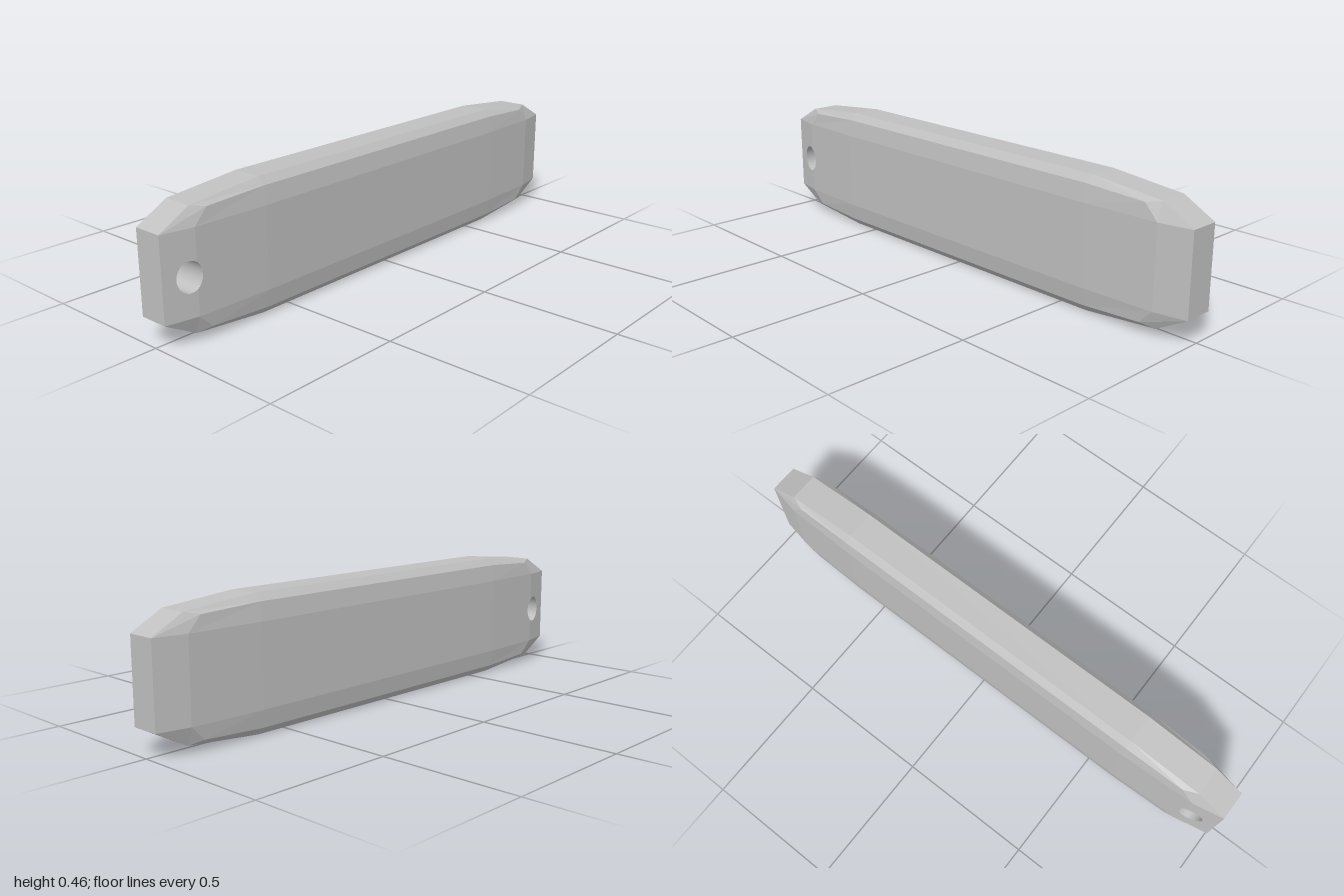
import * as THREE from 'three';
import { mergeVertices } from 'three/addons/utils/BufferGeometryUtils.js';

// half sizes of the flat core, and the corner radius along each axis
const core = new THREE.Vector3(0.053, 0.143, 0.61);
const radius = new THREE.Vector3(0.032, 0.0885, 0.39);
const midY = 0.2315;
const bendZ = core.z + radius.z * Math.SQRT1_2;
const bendX = core.x + radius.x * Math.SQRT1_2;
const hole = { z: 0.91, y: 0.222, rz: 0.044, ry: 0.0515 };

// half thickness of the bar at z near the drilled end
function halfThickness(z) {
  return z < bendZ
    ? THREE.MathUtils.mapLinear(z, core.z, bendZ, core.x + radius.x, bendX)
    : THREE.MathUtils.mapLinear(z, bendZ, 1, bendX, core.x);
}

function flip(geometry) {
  const a = geometry.index.array;
  for (let i = 0; i < a.length; i += 3) [a[i], a[i + 1]] = [a[i + 1], a[i]];
  return geometry;
}

// box with two-step rounded edges, left open where the drilled panels go
function bodyGeometry() {
  const g = new THREE.BoxGeometry(2, 2, 2, 3, 3, 3);
  const p = g.attributes.position;
  const v = new THREE.Vector3();
  for (let i = 0; i < p.count; i++) {
    v.fromBufferAttribute(p, i);
    const s = v.clone().set(Math.sign(v.x), Math.sign(v.y), Math.sign(v.z));
    v.set(...v.toArray().map((c) => (Math.abs(c) > 0.5 ? Math.sign(c) : 0))).normalize();
    v.multiply(radius).add(s.multiply(core));
    p.setXYZ(i, v.x, v.y + midY, v.z);
  }
  const kept = [];
  for (let i = 0; i < g.index.count; i += 3) {
    const tri = [0, 1, 2].map((k) => g.index.getX(i + k));
    const inBand = tri.every((k) => p.getZ(k) > core.z - 0.01 && Math.abs(p.getY(k) - midY) < core.y + 0.001);
    const onSide = tri.some((k) => Math.abs(p.getX(k)) > core.x + 0.001);
    if (!(inBand && onSide)) kept.push(...tri);
  }
  g.setIndex(kept);
  g.clearGroups();
  return g;
}

// side panel from the bend to zEnd, notched by its part of the hole
function panelGeometry(side, zEnd) {
  const a = Math.acos((bendZ - hole.z) / hole.rz);
  const front = zEnd > bendZ;
  const low = midY - core.y, high = midY + core.y;
  const shape = new THREE.Shape();
  shape.moveTo(bendZ, low);
  shape.lineTo(zEnd, low);
  shape.lineTo(zEnd, high);
  shape.lineTo(bendZ, high);
  shape.absellipse(hole.z, hole.y, hole.rz, hole.ry, a, front ? -a : 2 * Math.PI - a, front, 0);
  shape.closePath();
  const g = new THREE.ShapeGeometry(shape, 24);
  const p = g.attributes.position;
  for (let i = 0; i < p.count; i++) {
    const z = p.getX(i);
    p.setXYZ(i, side * halfThickness(z), p.getY(i), z);
  }
  if (side > 0) flip(g);
  g.computeVertexNormals();
  return g;
}

// inside wall of the hole, trimmed to the panels
function wallGeometry() {
  let g = new THREE.CylinderGeometry(1, 1, 2, 40, 1, true);
  g.rotateZ(-Math.PI / 2);
  const p = g.attributes.position;
  for (let i = 0; i < p.count; i++) {
    const z = hole.z + p.getZ(i) * hole.rz;
    p.setXYZ(i, p.getX(i) * halfThickness(z), hole.y + p.getY(i) * hole.ry, z);
  }
  g.deleteAttribute('uv');
  g.deleteAttribute('normal');
  g = flip(mergeVertices(g));
  g.computeVertexNormals();
  return g;
}

export function createModel() {
  const group = new THREE.Group();
  group.name = 'drilledBar';
  const grey = new THREE.MeshStandardMaterial({ color: 0xc0c0c0 });
  grey.name = 'grey';
  const add = (name, geometry) => {
    const mesh = new THREE.Mesh(geometry, grey);
    mesh.name = name;
    group.add(mesh);
  };

  const body = bodyGeometry().toNonIndexed();
  body.computeVertexNormals(); // flat facets
  add('body', body);
  for (const [label, side] of [['left', 1], ['right', -1]]) {
    add(label + 'FrontPanel', panelGeometry(side, 1));
    add(label + 'RearPanel', panelGeometry(side, core.z));
  }
  add('holeWall', wallGeometry());
  return group;
}
